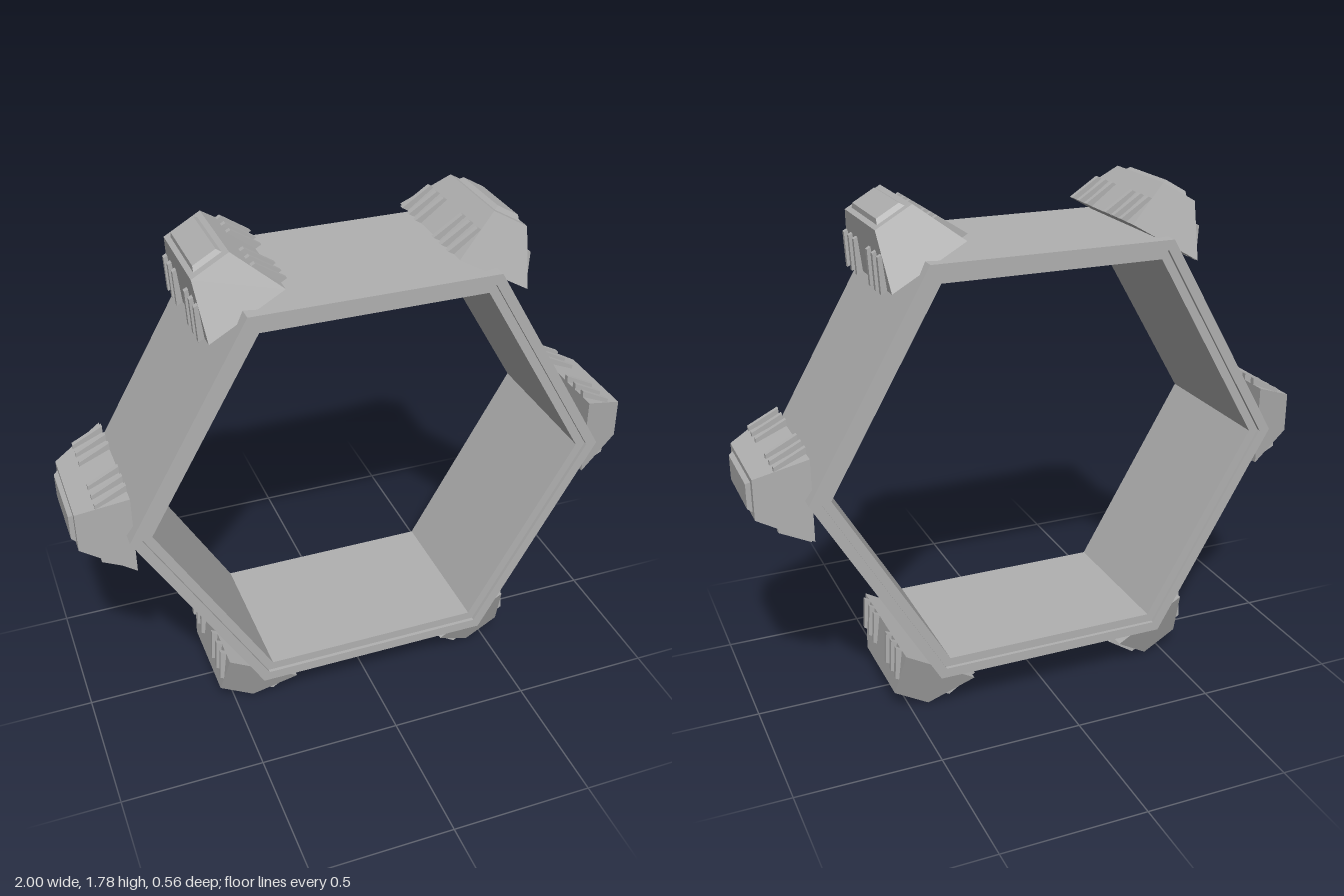
import * as THREE from 'three';

const CENTER_Y = 0.888;

// Hexagonal outline with corners on the x axis
function hexPoints(r) {
  return Array.from({ length: 6 }, (_, i) =>
    new THREE.Vector2(r * Math.cos(i * Math.PI / 3), r * Math.sin(i * Math.PI / 3)));
}

function hexRing(outer, inner, depth) {
  const shape = new THREE.Shape(hexPoints(outer));
  shape.holes.push(new THREE.Path(hexPoints(inner)));
  return new THREE.ExtrudeGeometry(shape, { depth, bevelEnabled: false }).translate(0, 0, -depth / 2);
}

// Box tapering outward along +x: half sizes (y, z) at x0 and at x1
function taperedBox(x0, y0, z0, x1, y1, z1) {
  const g = new THREE.BoxGeometry(2, 2, 2).toNonIndexed();
  const p = g.attributes.position;
  for (let i = 0; i < p.count; i++) {
    const out = p.getX(i) > 0;
    p.setXYZ(i, out ? x1 : x0, p.getY(i) * (out ? y1 : y0), p.getZ(i) * (out ? z1 : z0));
  }
  g.computeVertexNormals();
  return g;
}

// Thin sloping fin on the +y flank of a pod
function finGeometry(width) {
  const shape = new THREE.Shape([[0.815, 0.1], [0.92, 0.08], [0.92, 0.112], [0.815, 0.165]]
    .map(([x, y]) => new THREE.Vector2(x, y)));
  return new THREE.ExtrudeGeometry(shape, { depth: width, bevelEnabled: false }).translate(0, 0, -width / 2);
}

export function createModel() {
  const model = new THREE.Group();
  const gray = new THREE.MeshStandardMaterial({ color: 0xb0b0b0 });
  gray.name = 'hull gray';

  const add = (parent, geometry, name) => {
    const mesh = new THREE.Mesh(geometry, gray);
    mesh.name = name;
    parent.add(mesh);
    return mesh;
  };

  // Ring: outer shell and a slightly recessed inner lining
  const ring = new THREE.Group();
  ring.name = 'hexRing';
  ring.position.y = CENTER_Y;
  add(ring, hexRing(0.837, 0.797, 0.56), 'outerShell');
  add(ring, hexRing(0.797, 0.762, 0.535), 'innerLining');
  model.add(ring);

  // Pods, one on each corner
  const body = taperedBox(0.815, 0.142, 0.241, 0.985, 0.07, 0.165);
  const cap = taperedBox(0.985, 0.052, 0.137, 1.0, 0.043, 0.128);
  const fin = finGeometry(0.018);
  for (let i = 0; i < 6; i++) {
    const pod = new THREE.Group();
    pod.name = 'cornerPod';
    pod.position.y = CENTER_Y;
    pod.rotation.z = i * Math.PI / 3;
    add(pod, body, 'podBody');
    add(pod, cap, 'podCap');
    for (const z of [-0.185, -0.13, -0.073, 0.073, 0.13, 0.185]) {
      add(pod, fin, 'fin').position.z = z;
      const lower = add(pod, fin, 'fin');
      lower.position.z = z;
      lower.rotation.x = Math.PI;
    }
    model.add(pod);
  }
  return model;
}
